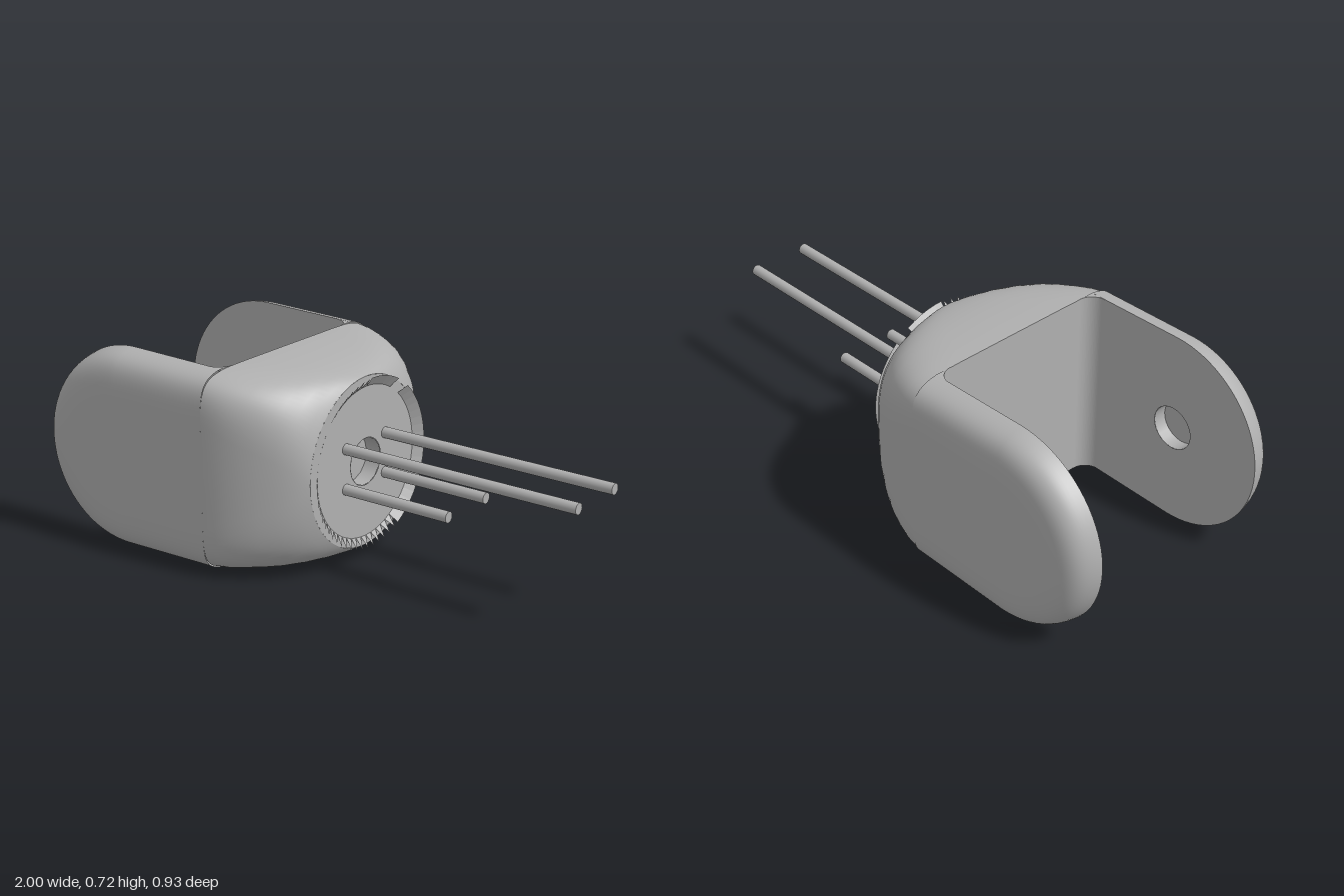
import * as THREE from 'three';

const ARM_X = -0.64, SLOT_X = -0.25, ARM_R = 0.361, BODY_H = 0.354, HALF_W = 0.465, SLOT_Z = 0.355;
const FACE_X = 0.087;

// Surface through rows of points; rows may close on themselves
function grid(rows, closed) {
  const n = rows[0].length, index = [];
  for (let i = 0; i < rows.length - 1; i++) {
    for (let j = 0; j < (closed ? n : n - 1); j++) {
      const k = (j + 1) % n, a = i * n, b = a + n;
      index.push(a + j, b + j, a + k, b + j, b + k, a + k);
    }
  }
  const g = new THREE.BufferGeometry();
  g.setAttribute('position', new THREE.Float32BufferAttribute(rows.flat(2), 3));
  g.setIndex(index);
  g.computeVertexNormals();
  return g;
}

const power = (v, n) => Math.sign(v) * Math.pow(Math.abs(v), 2 / n);

// Rounded-rectangle section of the body
function section(x, hw, hh, n) {
  const pts = [];
  for (let j = 0; j < 80; j++) {
    const a = (j / 80) * Math.PI * 2;
    pts.push([x, hh * power(Math.sin(a), n), hw * power(Math.cos(a), n)]);
  }
  return pts;
}

// Arm outline in x/y, scaled toward its centre line by s
function outline(s) {
  const pts = [];
  for (let i = 0; i < 5; i++) {
    const t = i / 5;
    pts.push([SLOT_X + (ARM_X - SLOT_X) * t, -s * (BODY_H + (ARM_R - BODY_H) * t)]);
  }
  for (let i = 0; i <= 40; i++) {
    const a = -Math.PI / 2 - (i / 40) * Math.PI;
    pts.push([ARM_X + s * ARM_R * Math.cos(a), s * ARM_R * Math.sin(a)]);
  }
  for (let i = 4; i >= 0; i--) pts.push([pts[i][0], -pts[i][1]]);
  return pts;
}

export function createModel() {
  const model = new THREE.Group();
  model.name = 'forkConnector';
  const grey = new THREE.MeshStandardMaterial({ color: 0xb0b0b0, side: THREE.DoubleSide });
  grey.name = 'grey';
  const root = new THREE.Group();
  root.name = 'connector';
  root.position.y = 0.3625;
  model.add(root);
  const add = (name, geometry, parent = root) => {
    const m = new THREE.Mesh(geometry, grey);
    m.name = name;
    parent.add(m);
    return m;
  };

  // Body, blending from a rounded block into a round nose
  const stations = [
    [SLOT_X, 0.465, BODY_H, 8], [-0.2, 0.462, 0.353, 7], [-0.15, 0.452, 0.35, 6],
    [-0.1, 0.437, 0.346, 5.2], [-0.05, 0.415, 0.341, 4.5], [0, 0.387, 0.333, 3.7],
    [0.04, 0.358, 0.324, 3], [0.07, 0.328, 0.314, 2.4], [FACE_X, 0.305, 0.305, 2],
  ];
  add('body', grid(stations.map((s) => section(...s)), true));

  // Slot floor
  const floorShape = new THREE.Shape(section(...stations[0]).map((p) => new THREE.Vector2(p[2], p[1])));
  const floor = add('slotFloor', new THREE.ShapeGeometry(floorShape));
  floor.rotation.y = -Math.PI / 2;
  floor.position.x = SLOT_X;

  // Arms, each with a blind pivot hole on its inner face
  for (const [side, turn] of [['left', 0], ['right', Math.PI]]) {
    const arm = new THREE.Group();
    arm.name = side + 'Arm';
    arm.rotation.x = turn;
    root.add(arm);

    const a0 = Math.acos(Math.pow(SLOT_Z / HALF_W, 4));
    const s0 = power(Math.sin(a0), 8);
    const rows = [];
    for (let i = 0; i <= 16; i++) {
      const a = a0 * (1 - i / 16);
      const s = power(Math.sin(a), 8) / s0, z = HALF_W * power(Math.cos(a), 8);
      rows.push(outline(s).map(([x, y]) => [x, y, z]));
    }
    add('armShell', grid(rows, false), arm);

    const face = new THREE.Shape(outline(1).map(([x, y]) => new THREE.Vector2(x, y)));
    face.holes.push(new THREE.Path().absarc(ARM_X, 0, 0.08, 0, Math.PI * 2));
    const inner = new THREE.ShapeGeometry(face, 24);
    inner.rotateX(Math.PI);
    add('armInnerFace', inner, arm).position.z = SLOT_Z;

    const wall = new THREE.CylinderGeometry(0.08, 0.08, 0.05, 24, 1, true);
    wall.rotateX(Math.PI / 2);
    add('pivotHoleWall', wall, arm).position.set(ARM_X, 0, SLOT_Z + 0.025);
    const end = new THREE.CircleGeometry(0.08, 24);
    end.rotateY(Math.PI);
    add('pivotHoleEnd', end, arm).position.set(ARM_X, 0, SLOT_Z + 0.05);

    // Concave fillet in the slot corner
    const r = 0.06, corner = new THREE.Shape();
    corner.moveTo(SLOT_X, -SLOT_Z);
    corner.lineTo(SLOT_X, -SLOT_Z + r);
    corner.absarc(SLOT_X - r, -SLOT_Z + r, r, 0, -Math.PI / 2, true);
    corner.closePath();
    const fillet = new THREE.ExtrudeGeometry(corner, { depth: BODY_H * 2, bevelEnabled: false, curveSegments: 10 });
    fillet.rotateX(-Math.PI / 2);
    add('slotFillet', fillet, arm).position.y = -BODY_H;
  }

  // Nose plate with a central recess
  const plate = new THREE.RingGeometry(0.085, 0.305, 48);
  plate.rotateY(Math.PI / 2);
  add('nosePlate', plate).position.x = FACE_X;
  const bore = new THREE.CylinderGeometry(0.085, 0.085, 0.06, 14, 1, true);
  bore.rotateZ(Math.PI / 2);
  add('noseRecessWall', bore).position.x = FACE_X - 0.03;
  const boreEnd = new THREE.CircleGeometry(0.085, 14);
  boreEnd.rotateY(Math.PI / 2);
  add('noseRecessEnd', boreEnd).position.x = FACE_X - 0.06;

  // Broken flared lip: whole stretches and single teeth
  const lip = [];
  const lipPoint = (deg, out) => {
    const a = THREE.MathUtils.degToRad(deg), r = out ? 0.305 : 0.27;
    return [out ? 0.115 : FACE_X + 0.002, r * Math.sin(a), -r * Math.cos(a)];
  };
  for (let d = -60; d < 300; d += 6) {
    const whole = d < 45 || (d >= 58 && d < 90) || (d >= 174 && d < 186);
    if (d >= 45 && d < 58) continue;
    if (whole) {
      lip.push(lipPoint(d, false), lipPoint(d, true), lipPoint(d + 6, true));
      lip.push(lipPoint(d, false), lipPoint(d + 6, true), lipPoint(d + 6, false));
    } else {
      lip.push(lipPoint(d, false), lipPoint(d + 2, true), lipPoint(d + 6, false));
    }
  }
  const lipGeometry = new THREE.BufferGeometry();
  lipGeometry.setAttribute('position', new THREE.Float32BufferAttribute(lip.flat(), 3));
  lipGeometry.computeVertexNormals();
  add('brokenLip', lipGeometry);

  // Contact rods: long upper pair, short lower pair
  for (const z of [0.11, -0.11]) {
    for (const [name, y, tip] of [['longRod', 0.075, 1], ['shortRod', -0.07, 0.51]]) {
      const length = tip - FACE_X;
      const rod = new THREE.CylinderGeometry(0.02, 0.02, length, 14);
      rod.rotateZ(Math.PI / 2);
      add(name, rod).position.set(FACE_X + length / 2, y, z);
    }
  }
  return model;
}
